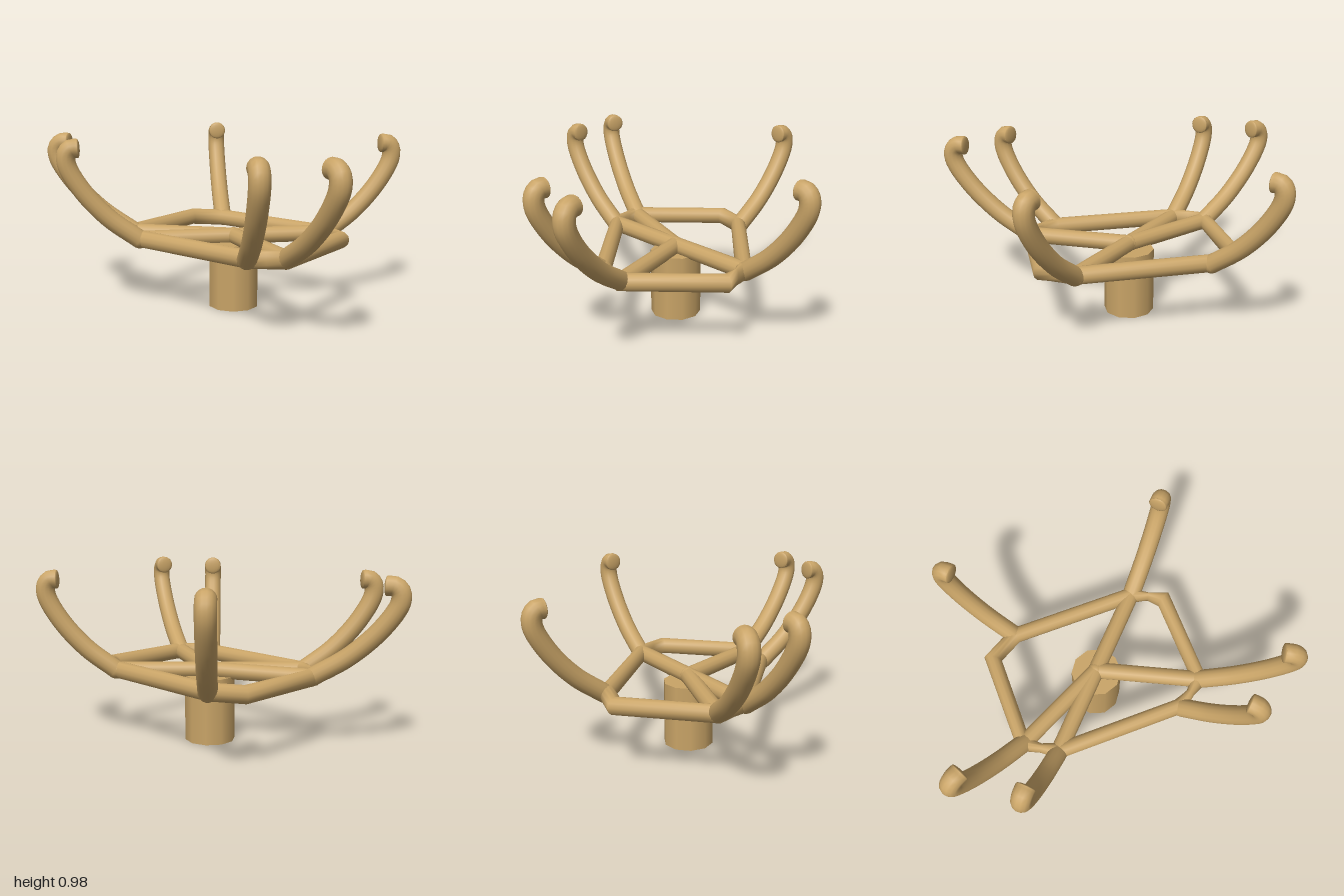
import * as THREE from 'three';

const RAIL_Y = 0.41;

export function createModel() {
  const group = new THREE.Group();
  const wood = new THREE.MeshStandardMaterial({ color: 0xc9a467, side: THREE.DoubleSide });

  const add = (name, geometry, x = 0, y = 0, z = 0) => {
    const mesh = new THREE.Mesh(geometry, wood);
    mesh.name = name;
    mesh.position.set(x, y, z);
    group.add(mesh);
    return mesh;
  };

  // Central post
  add('post', new THREE.CylinderGeometry(0.145, 0.145, 0.38, 10).rotateY(Math.PI / 2), 0, 0.19, 0);

  // Rail frame: corners as [x, z, half width]; the pinched points make the thin corner links
  add('railFrame', frameGeometry([
    [0.375, 0.37, 0.045], [0.33, 0.46, 0.016], [0.28, 0.54, 0.045],
    [-0.27, 0.54, 0.042], [-0.325, 0.455, 0.025], [-0.375, 0.37, 0.045],
    [-0.375, -0.37, 0.045], [-0.325, -0.455, 0.025], [-0.27, -0.54, 0.042],
    [0.28, -0.54, 0.045], [0.375, -0.37, 0.045],
  ]), 0, RAIL_Y, 0);

  // Arms: base x, base z, sideways stretch of the curve, and whether a spoke joins it to the hub
  const arms = [
    ['frontLeft', 0.385, 0.375, 1, true],
    ['backLeft', 0.385, -0.375, 1, false],
    ['frontRight', -0.385, 0.375, 1, false],
    ['backRight', -0.385, -0.375, 1, true],
    ['frontInner', -0.26, 0.53, 1.2, true],
    ['backInner', -0.26, -0.53, 1.2, true],
  ];
  // Arm curve as [outward distance, height], ending in a short inward hook
  const profile = [[0, 0.41], [0.17, 0.54], [0.31, 0.70], [0.385, 0.84], [0.385, 0.90], [0.36, 0.929], [0.325, 0.93]];

  for (const [name, x, z, stretch, spoke] of arms) {
    const out = new THREE.Vector3(x, 0, z).normalize();
    const points = profile.map(([d, y]) => {
      const reach = Math.min(d, 0.385) * stretch;
      return new THREE.Vector3(x + out.x * reach, y, z + out.z * reach);
    });
    const path = new THREE.CatmullRomCurve3(points);
    add(name + 'Arm', new THREE.TubeGeometry(path, 40, 0.053, 14));
    add(name + 'Joint', new THREE.SphereGeometry(0.053, 14, 10), x, RAIL_Y, z);

    // Shallow cap on the hook
    const cap = add(name + 'Tip', new THREE.SphereGeometry(0.053, 14, 10));
    cap.scale.set(1, 1, 0.25);
    cap.position.copy(points[points.length - 1]);
    cap.quaternion.setFromUnitVectors(new THREE.Vector3(0, 0, 1), path.getTangent(1));

    // Spoke from the hub
    if (spoke) {
      const line = new THREE.LineCurve3(new THREE.Vector3(0, RAIL_Y, 0), new THREE.Vector3(x, RAIL_Y, z));
      add(name + 'Spoke', new THREE.TubeGeometry(line, 1, 0.048, 12));
    }
  }
  add('hub', new THREE.SphereGeometry(0.05, 14, 10), 0, RAIL_Y, 0);

  return group;
}

// Closed loop of mitred oval sections lying flat
function frameGeometry(corners, sides = 12) {
  const n = corners.length;
  const positions = [];
  const index = [];
  corners.forEach(([x, z, w], i) => {
    const [px, pz] = corners[(i + n - 1) % n];
    const [nx, nz] = corners[(i + 1) % n];
    const a = new THREE.Vector2(x - px, z - pz).normalize();
    const b = new THREE.Vector2(nx - x, nz - z).normalize();
    const t = a.clone().add(b).normalize();
    const width = w / t.dot(a);
    for (let j = 0; j < sides; j++) {
      const angle = (j / sides) * Math.PI * 2;
      const s = Math.cos(angle) * width;
      positions.push(x + t.y * s, Math.sin(angle) * 0.05, z - t.x * s);
      const k = (j + 1) % sides;
      const next = ((i + 1) % n) * sides;
      index.push(i * sides + j, i * sides + k, next + j, i * sides + k, next + k, next + j);
    }
  });
  const geometry = new THREE.BufferGeometry();
  geometry.setAttribute('position', new THREE.Float32BufferAttribute(positions, 3));
  geometry.setIndex(index);
  geometry.computeVertexNormals();
  return geometry;
}
